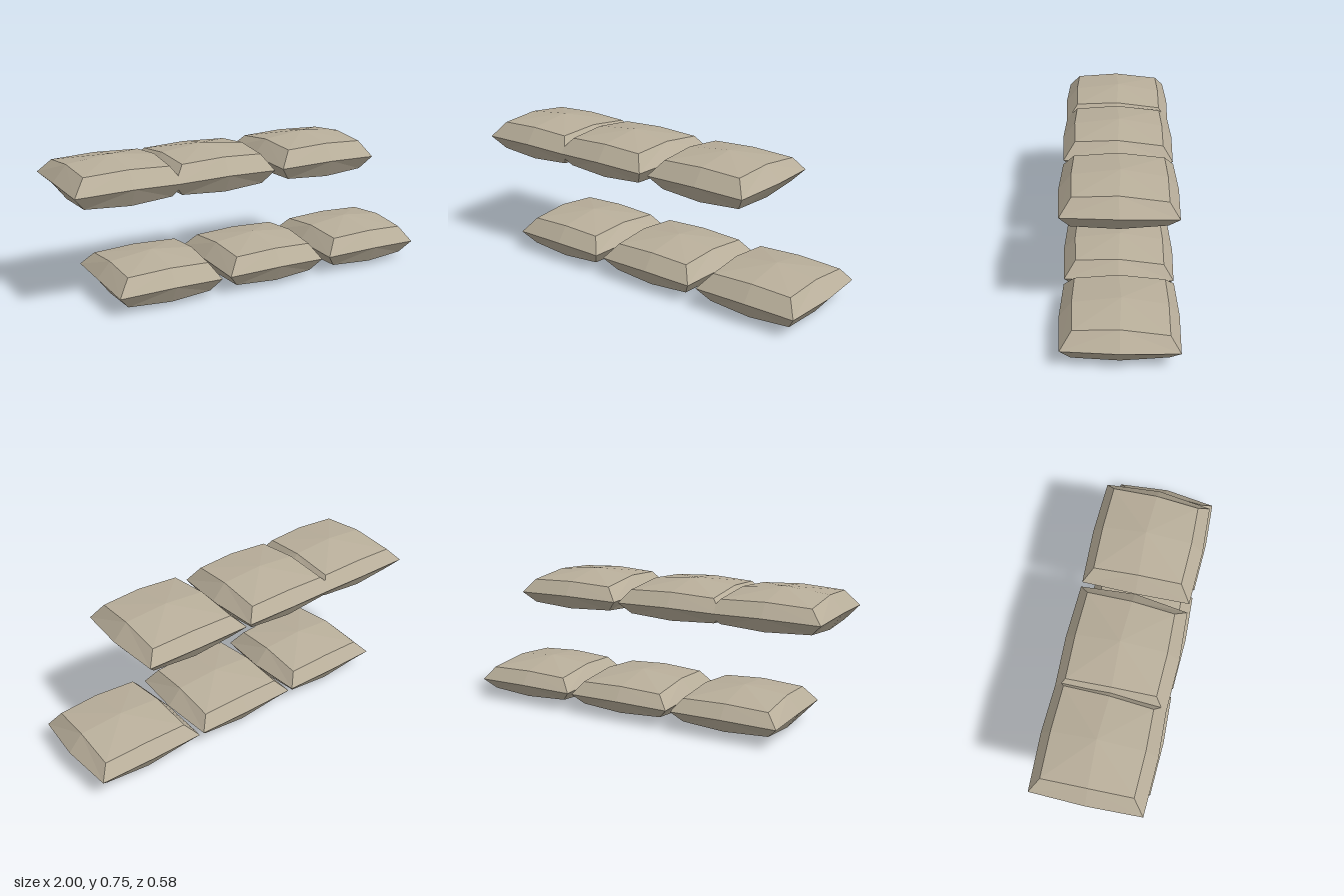
import * as THREE from 'three';

// Each ring runs anticlockwise seen from above, starting at the front -x corner:
// corner, edge middle, corner, ... as [x, y, z].
const BOTTOM = [
  [-0.23, 0.037, 0.228], [0, 0.024, 0.237], [0.215, 0.037, 0.228], [0.23, 0.03, 0],
  [0.235, 0.05, -0.23], [0, 0.04, -0.243], [-0.23, 0.05, -0.23], [-0.235, 0.03, 0],
];
const RIM = [
  [-0.29, 0.107, 0.278], [0, 0.116, 0.29], [0.262, 0.107, 0.278], [0.3, 0.118, 0],
  [0.285, 0.107, -0.28], [0, 0.113, -0.29], [-0.29, 0.107, -0.28], [-0.3, 0.118, 0],
];
const TOP = [
  [-0.225, 0.187, 0.22], [0, 0.198, 0.227], [0.21, 0.187, 0.22], [0.225, 0.2, 0],
  [0.235, 0.173, -0.232], [0, 0.182, -0.237], [-0.228, 0.173, -0.232], [-0.23, 0.2, 0],
];

// Closed cushion: three rings bridged by quads, with a domed fan on each end
function cushionGeometry() {
  const rings = [BOTTOM, RIM, TOP];
  const n = RIM.length;
  const points = [...rings.flat(), [0, 0, -0.01], [0, 0.224, -0.01]];
  const low = 3 * n, high = low + 1;
  const index = [];
  for (let i = 0; i < n; i++) {
    const j = (i + 1) % n;
    for (let r = 0; r < 2; r++) {
      const a = r * n + i, b = r * n + j;
      // diagonals mirror on alternate sections so they start at the corners
      if (i % 2) index.push(a, b, a + n, b, b + n, a + n);
      else index.push(a, b, b + n, a, b + n, a + n);
    }
    index.push(low, j, i);
    index.push(high, 2 * n + i, 2 * n + j);
  }
  const geometry = new THREE.BufferGeometry();
  geometry.setAttribute('position', new THREE.Float32BufferAttribute(points.flat(), 3));
  geometry.setIndex(index);
  const faceted = geometry.toNonIndexed();
  faceted.computeVertexNormals();
  return faceted;
}

export function createModel() {
  const model = new THREE.Group();
  model.name = 'cushionRows';
  const geometry = cushionGeometry();
  const material = new THREE.MeshStandardMaterial({ color: 0xb8ae9a, flatShading: true });

  // Two staggered rows; the upper row has one overlapping pair
  const rows = [
    { name: 'lowerRow', y: 0, xs: [-0.5, 0.1, 0.7] },
    { name: 'upperRow', y: 0.527, xs: [-0.7, -0.2, 0.4] },
  ];
  for (const { name, y, xs } of rows) {
    const row = new THREE.Group();
    row.name = name;
    row.position.y = y;
    xs.forEach((x, i) => {
      const cushion = new THREE.Mesh(geometry, material);
      cushion.name = `cushion${i + 1}`;
      cushion.position.x = x;
      row.add(cushion);
    });
    model.add(row);
  }
  return model;
}
